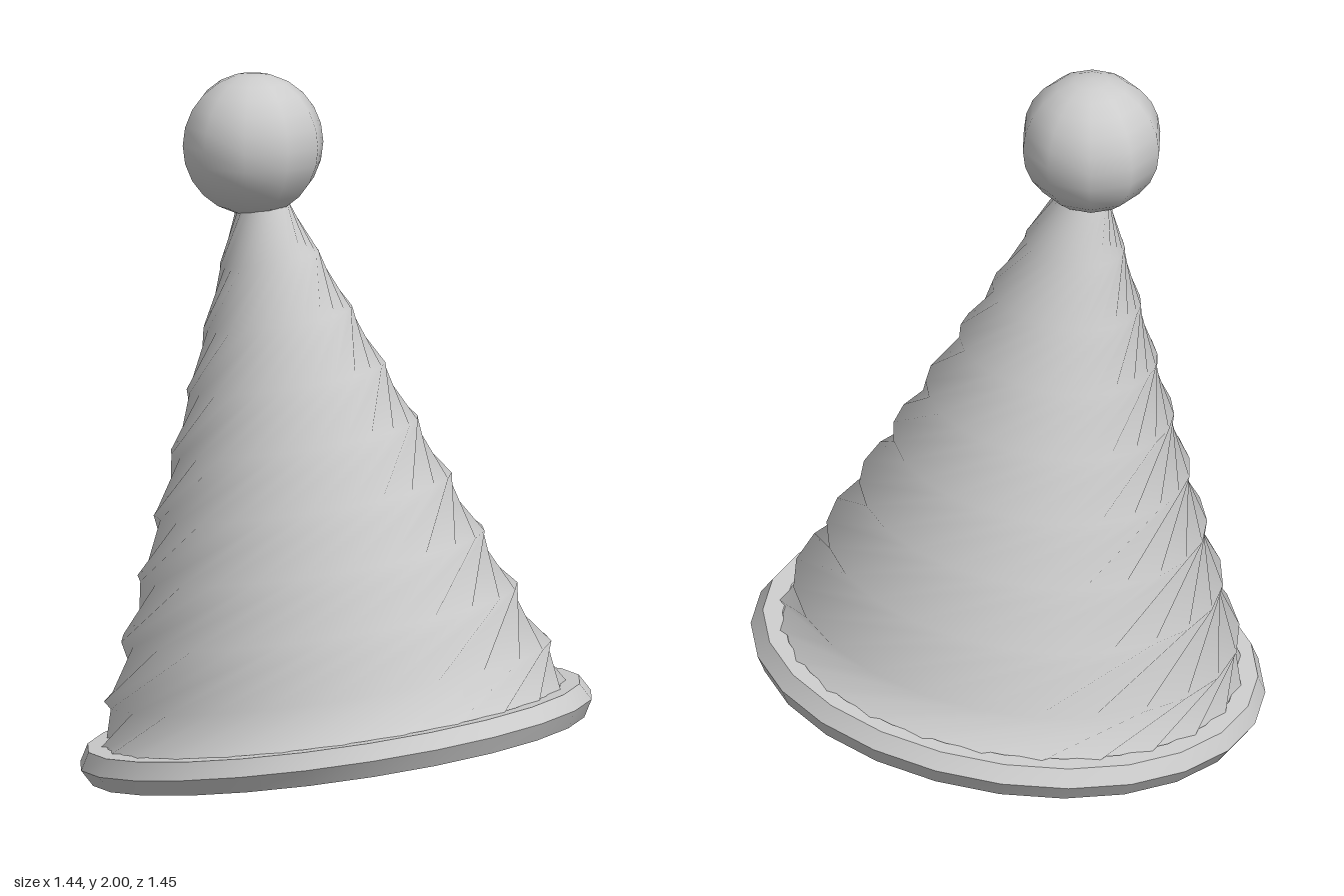
import * as THREE from 'three';
import { mergeVertices, toCreasedNormals } from 'three/addons/utils/BufferGeometryUtils.js';

const BASE_RADIUS = 0.7;
const HEIGHT = 1.68;
const SIDES = 24;
const ROWS = 10;
const TILT = THREE.MathUtils.degToRad(8);

// Open cone whose rows turn one full revolution from base to tip
function twistedCone() {
  let geo = new THREE.ConeGeometry(BASE_RADIUS, HEIGHT, SIDES, ROWS, true);
  geo.translate(0, HEIGHT / 2, 0);
  const pos = geo.attributes.position;
  const axis = new THREE.Vector3(0, 1, 0);
  const p = new THREE.Vector3();
  for (let i = 0; i < pos.count; i++) {
    p.fromBufferAttribute(pos, i);
    p.applyAxisAngle(axis, (p.y / HEIGHT) * Math.PI * 2);
    pos.setXYZ(i, p.x, p.y, p.z);
  }
  geo.deleteAttribute('uv');
  geo.deleteAttribute('normal');
  geo = mergeVertices(geo, 1e-4);
  geo.computeVertexNormals();
  return geo;
}

export function createModel() {
  const group = new THREE.Group();
  group.name = 'partyHat';
  const grey = new THREE.MeshStandardMaterial({ color: 0xcccccc });
  grey.name = 'light grey';

  const add = (parent, name, geo) => {
    const mesh = new THREE.Mesh(geo, grey);
    mesh.name = name;
    parent.add(mesh);
    return mesh;
  };

  // Leaning hat body
  const hat = new THREE.Group();
  hat.name = 'tiltedHat';
  hat.position.y = 0.148;
  hat.rotation.z = TILT;
  group.add(hat);

  add(hat, 'twistedCone', twistedCone());

  // Closed underside, facing down
  add(hat, 'coneBase', new THREE.CircleGeometry(BASE_RADIUS, SIDES).rotateX(Math.PI / 2));

  // Hexagonal-section brim, smooth around and sharp along its edges
  const ring = new THREE.TorusGeometry(0.67, 0.055, 6, 24).rotateX(Math.PI / 2);
  add(hat, 'brim', toCreasedNormals(ring, 0.7));

  // Upright ball on the tip
  const ball = add(group, 'pompom', new THREE.SphereGeometry(0.2, 10, 12).rotateY(Math.PI / 2));
  ball.position.set(-0.233, 1.8, 0);

  return group;
}
